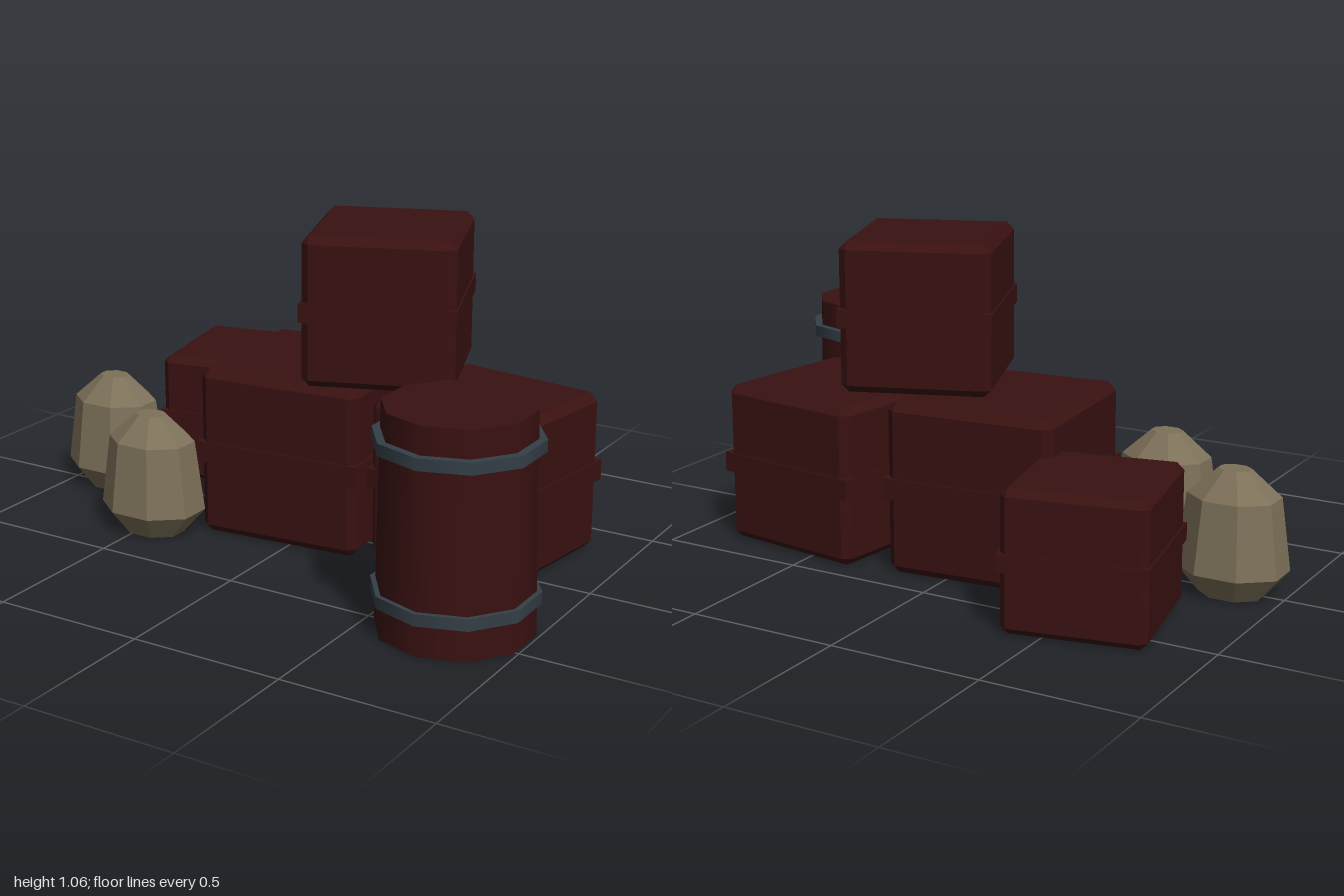
import * as THREE from 'three';
import { ConvexGeometry } from 'three/addons/geometries/ConvexGeometry.js';

const mat = (name, color, extra = {}) => {
  const m = new THREE.MeshStandardMaterial({ color, ...extra });
  m.name = name;
  return m;
};

function addMesh(parent, name, geometry, material, y = 0) {
  const mesh = new THREE.Mesh(geometry, material);
  mesh.name = name;
  mesh.position.y = y;
  parent.add(mesh);
  return mesh;
}

// Cube with every edge and corner cut: three points at each corner
function chamferedCube(size, cut) {
  const h = size / 2, k = h - cut, points = [];
  for (const x of [-1, 1]) for (const y of [-1, 1]) for (const z of [-1, 1]) {
    points.push(
      new THREE.Vector3(x * h, y * k, z * k),
      new THREE.Vector3(x * k, y * h, z * k),
      new THREE.Vector3(x * k, y * k, z * h));
  }
  return new ConvexGeometry(points);
}

// Eight-sided sack body from rings of [height, half width]
function sackGeometry() {
  const points = [];
  for (const [y, r] of [[0, 0.1], [0.085, 0.17], [0.32, 0.14], [0.405, 0.05]]) {
    for (let i = 0; i < 8; i++) {
      const a = (i + 0.5) * Math.PI / 4, R = r / Math.cos(Math.PI / 8);
      points.push(new THREE.Vector3(R * Math.cos(a), y, R * Math.sin(a) * 0.79));
    }
  }
  return new ConvexGeometry(points);
}

export function createModel() {
  const model = new THREE.Group();
  model.name = 'cargoPile';
  const wood = mat('darkRedWood', 0x3a1111);
  const iron = mat('blueGreyIron', 0x343f47);
  const cloth = mat('sackCloth', 0x7d7159, { flatShading: true });

  // Crates: x, base y, z, size, turn
  const crates = [
    ['mainCrate', -0.06, 0, -0.1, 0.567, 0.09],
    ['rightCrate', 0.555, 0, -0.14, 0.53, -0.135],
    ['leftCrate', -0.553, 0, -0.422, 0.45, 0.2],
    ['topCrate', 0.225, 0.573, -0.092, 0.485, 0.36],
  ];
  for (const [name, x, y, z, size, turn] of crates) {
    const crate = new THREE.Group();
    crate.name = name;
    crate.position.set(x, y, z);
    crate.rotation.y = turn;
    addMesh(crate, 'crateBody', chamferedCube(size, size * 0.05), wood, size / 2);
    const belt = size + 0.012;
    addMesh(crate, 'crateBelt', new THREE.BoxGeometry(belt, size * 0.125, belt), wood, size / 2);
    model.add(crate);
  }

  // Barrel with two iron hoops
  const barrel = new THREE.Group();
  barrel.name = 'barrel';
  barrel.position.set(0.755, 0, 0.432);
  addMesh(barrel, 'barrelBody', new THREE.CylinderGeometry(0.23, 0.244, 0.695, 10), wood, 0.3475);
  for (const y of [0.12, 0.59]) {
    addMesh(barrel, 'barrelHoop', new THREE.CylinderGeometry(0.257, 0.257, 0.038, 10), iron, y);
  }
  model.add(barrel);

  // Sacks
  const sack = sackGeometry();
  for (const [name, x, z] of [['backSack', -0.83, -0.016], ['frontSack', -0.465, 0.268]]) {
    addMesh(model, name, sack, cloth).position.set(x, 0, z);
  }
  return model;
}
